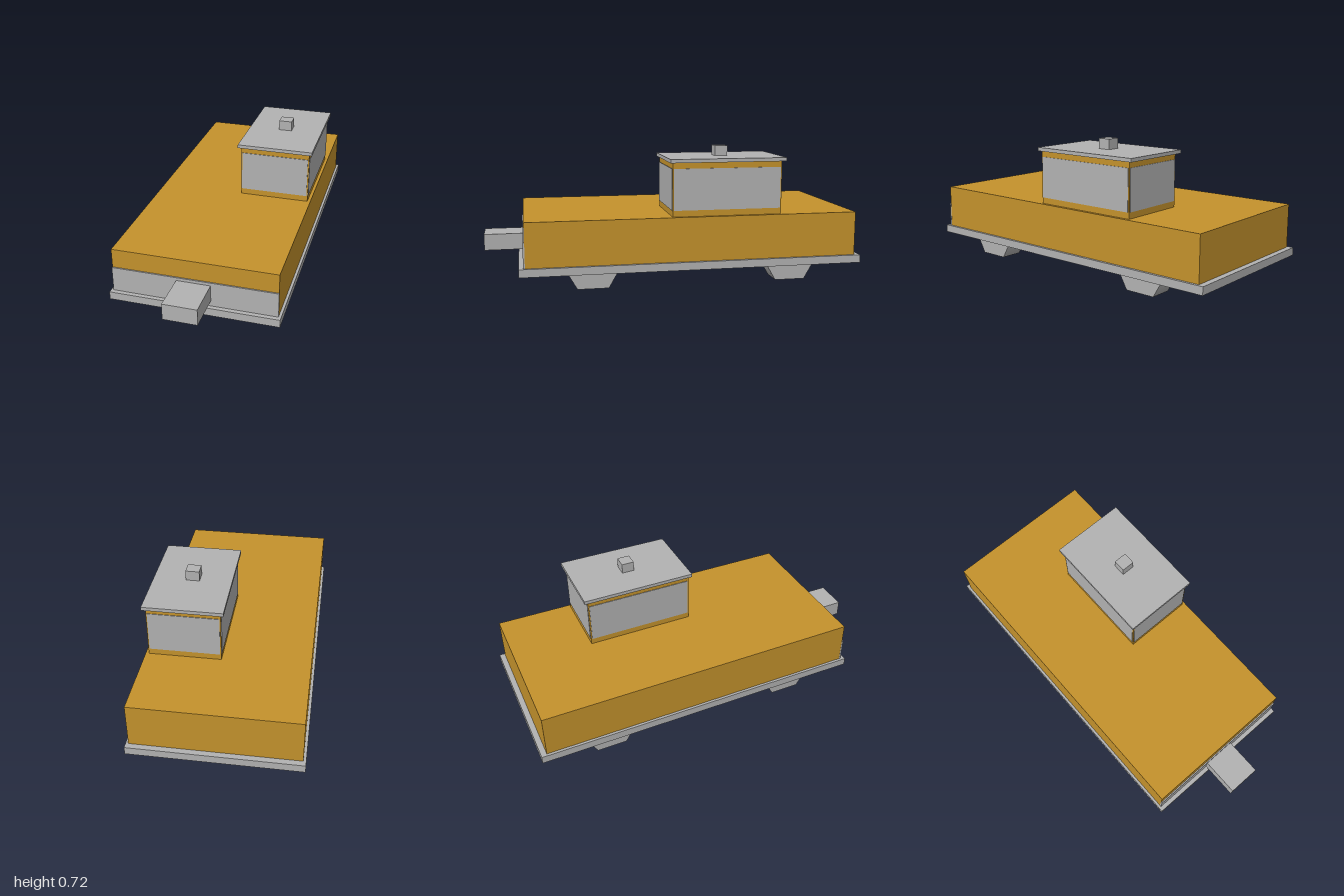
import * as THREE from 'three';

export function createModel() {
  const model = new THREE.Group();
  const ochre = new THREE.MeshStandardMaterial({ color: 0xc4922c });
  ochre.name = 'ochre';
  const grey = new THREE.MeshStandardMaterial({ color: 0xb2b2b2 });
  grey.name = 'grey';

  // box given by its limits on each axis
  const box = (name, material, [x0, x1], [y0, y1], [z0, z1], parent = model) => {
    const mesh = new THREE.Mesh(new THREE.BoxGeometry(x1 - x0, y1 - y0, z1 - z0), material);
    mesh.position.set((x0 + x1) / 2, (y0 + y1) / 2, (z0 + z1) / 2);
    mesh.name = name;
    parent.add(mesh);
    return mesh;
  };

  // chassis, hull, front panel and nose block
  box('chassis', grey, [-0.44, 0.44], [0.085, 0.127], [-1, 0.82]);
  box('hull', ochre, [-0.426, 0.426], [0.127, 0.362], [-0.97, 0.79]);
  box('frontPanel', grey, [-0.427, 0.427], [0.127, 0.26], [0.788, 0.797]);
  box('noseBlock', grey, [-0.088, 0.088], [0.157, 0.244], [0.79, 1]);

  // cabin with a window panel on each side
  const cabin = new THREE.Group();
  cabin.name = 'cabin';
  model.add(cabin);
  const x = [0.031, 0.409], z = [-0.553, 0.031], gap = 0.006, t = 0.003;
  box('cabinBody', ochre, x, [0.362, 0.643], z, cabin);
  const windowY = [0.395, 0.612];
  for (const edge of z) {
    box('endWindow', grey, [x[0] + gap, x[1] - gap], windowY, [edge - t, edge + t], cabin);
  }
  for (const edge of x) {
    box('sideWindow', grey, [edge - t, edge + t], windowY, [z[0] + gap, z[1] - gap], cabin);
  }
  box('roof', grey, [0.014, 0.425], [0.643, 0.662], [-0.575, 0.045], cabin);
  box('roofVent', grey, [0.183, 0.255], [0.662, 0.716], [-0.298, -0.23], cabin);

  // six-sided wheels, partly inside the hull
  const radius = 0.162;
  const wheelGeometry = new THREE.CylinderGeometry(radius, radius, 0.122, 6);
  wheelGeometry.rotateZ(Math.PI / 2);
  for (const side of [-1, 1]) {
    for (const wz of [0.445, -0.615]) {
      const wheel = new THREE.Mesh(wheelGeometry, grey);
      wheel.position.set(side * 0.338, radius * Math.cos(Math.PI / 6), wz);
      wheel.name = 'wheel';
      model.add(wheel);
    }
  }
  return model;
}
